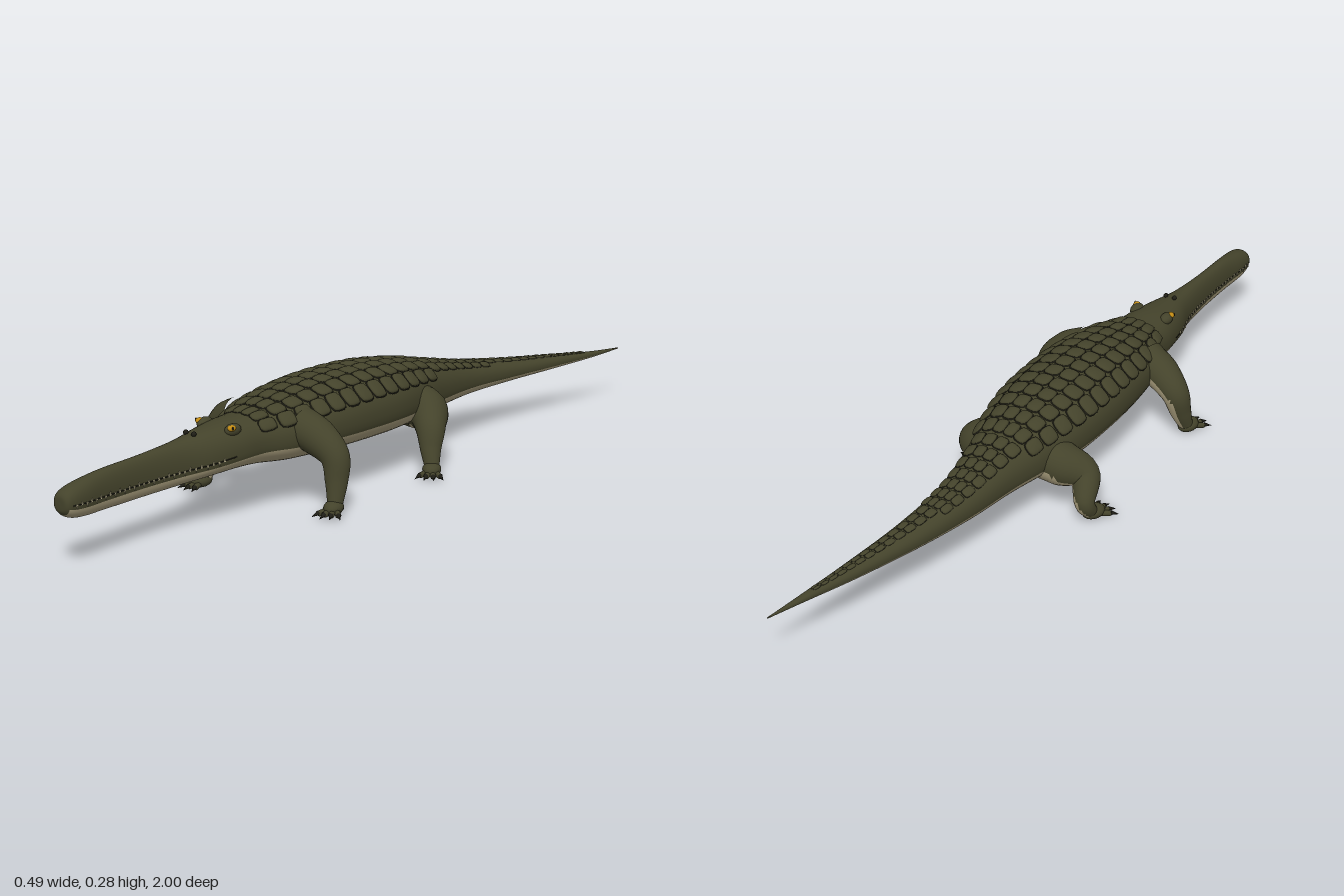
import * as THREE from 'three';
import { mergeGeometries } from 'three/addons/utils/BufferGeometryUtils.js';

const V = (x, y, z) => new THREE.Vector3(x, y, z);
const mat = (name, color) => Object.assign(new THREE.MeshStandardMaterial({ color }), { name });

// Body cross-sections: z, centre x, half width, top y, bottom y, widest y
const SECTIONS = [
  [1, 0, 0, 0.158, 0.152, 0.155], [0.997, 0, 0.021, 0.178, 0.138, 0.157],
  [0.98, 0, 0.029, 0.191, 0.124, 0.157], [0.94, 0, 0.03, 0.201, 0.117, 0.156],
  [0.87, 0, 0.025, 0.21, 0.116, 0.155], [0.75, 0, 0.025, 0.215, 0.116, 0.155],
  [0.64, 0, 0.036, 0.222, 0.117, 0.157], [0.56, 0, 0.058, 0.231, 0.12, 0.162],
  [0.48, 0, 0.073, 0.239, 0.122, 0.17], [0.41, 0, 0.083, 0.242, 0.118, 0.176],
  [0.33, 0, 0.115, 0.254, 0.11, 0.18], [0.22, 0, 0.132, 0.269, 0.105, 0.18],
  [0.1, 0, 0.138, 0.275, 0.102, 0.18], [-0.04, 0, 0.132, 0.271, 0.1, 0.178],
  [-0.16, 0, 0.108, 0.256, 0.102, 0.172], [-0.28, 0, 0.078, 0.231, 0.108, 0.163],
  [-0.42, 0.002, 0.056, 0.202, 0.114, 0.154], [-0.58, 0.024, 0.04, 0.179, 0.12, 0.146],
  [-0.76, 0.06, 0.024, 0.162, 0.127, 0.143], [-0.9, 0.092, 0.01, 0.151, 0.135, 0.142],
  [-1, 0.112, 0.001, 0.146, 0.143, 0.1445],
];
const plan = new THREE.CatmullRomCurve3(SECTIONS.map(s => V(s[0], s[1], s[2])), false, 'catmullrom');
const heights = new THREE.CatmullRomCurve3(SECTIONS.map(s => V(s[3], s[4], s[5])), false, 'catmullrom');
const pow = v => Math.sign(v) * Math.abs(v) ** 0.87;

// Point on the skin; angle 0 is the belly line, PI is the back line
function skin(t, angle) {
  const p = plan.getPoint(t), h = heights.getPoint(t);
  const up = pow(-Math.cos(angle));
  return V(p.y + Math.max(p.z, 0) * pow(Math.sin(angle)),
    h.z + up * (up > 0 ? h.x - h.z : h.z - h.y), p.x);
}
function tAtZ(z) {
  let a = 0, b = 1;
  for (let i = 0; i < 30; i++) {
    const m = (a + b) / 2;
    if (plan.getPoint(m).x > z) a = m; else b = m;
  }
  return a;
}

// Sort triangles into two material groups by a rule on texture position and normal
function paint(geo, isPale) {
  const idx = geo.index.array, lists = [[], []], uv = geo.attributes.uv, nor = geo.attributes.normal;
  for (let i = 0; i < idx.length; i += 3) {
    let u = 0, v = 0;
    const n = V(0, 0, 0);
    for (let k = 0; k < 3; k++) {
      u += uv.getX(idx[i + k]) / 3;
      v += uv.getY(idx[i + k]) / 3;
      n.add(V(0, 0, 0).fromBufferAttribute(nor, idx[i + k]));
    }
    lists[isPale(u, v, n.normalize()) ? 1 : 0].push(idx[i], idx[i + 1], idx[i + 2]);
  }
  geo.setIndex([...lists[0], ...lists[1]]);
  geo.clearGroups();
  geo.addGroup(0, lists[0].length, 0);
  geo.addGroup(lists[0].length, lists[1].length, 1);
  return geo;
}

// Trunk from snout to tail with a pale underside and a dark snout tip
function bodyGeometry() {
  const sides = 48, rows = 160;
  const geo = new THREE.CylinderGeometry(1, 1, 1, sides, rows, true);
  const pos = geo.attributes.position, uv = geo.attributes.uv;
  for (let i = 0; i < pos.count; i++) {
    const p = skin(1 - uv.getY(i), uv.getX(i) * Math.PI * 2);
    pos.setXYZ(i, p.x, p.y, p.z);
  }
  geo.computeVertexNormals();
  return paint(geo, (u, v) => v < 0.93 && Math.abs(Math.floor(u * sides) + 0.5 - sides / 2) > sides / 2 - 10);
}

// Tube whose radius follows a list along its path
function limbGeometry(points, radii) {
  const path = new THREE.CatmullRomCurve3(points), n = 28, sides = 24;
  const geo = new THREE.TubeGeometry(path, n, 1, sides), pos = geo.attributes.position;
  for (let i = 0; i <= n; i++) {
    const c = path.getPointAt(i / n), f = (i / n) * (radii.length - 1);
    const k = Math.min(Math.floor(f), radii.length - 2);
    const r = THREE.MathUtils.lerp(radii[k], radii[k + 1], f - k);
    for (let j = 0; j <= sides; j++) {
      const q = i * (sides + 1) + j;
      const v = V(0, 0, 0).fromBufferAttribute(pos, q).sub(c).multiplyScalar(r).add(c);
      pos.setXYZ(q, v.x, v.y, v.z);
    }
  }
  return geo;
}

// Flat-topped plate with a rounded square outline
function scuteGeometry() {
  const geo = new THREE.SphereGeometry(1, 16, 6, 0, Math.PI * 2, 0, Math.PI / 2);
  const pos = geo.attributes.position;
  for (let i = 0; i < pos.count; i++) {
    const x = pos.getX(i), y = pos.getY(i), z = pos.getZ(i), r = Math.hypot(x, z) || 1;
    const k = 1 / ((Math.abs(x) / r) ** 4 + (Math.abs(z) / r) ** 4 || 1) ** 0.25;
    pos.setXYZ(i, x * k, Math.max(y, 0) ** 0.6, z * k);
  }
  geo.computeVertexNormals();
  return geo;
}

// Cone or other y-up geometry moved to a point and aimed along a direction
function aim(geo, at, dir) {
  geo.applyQuaternion(new THREE.Quaternion().setFromUnitVectors(V(0, 1, 0), dir.clone().normalize()));
  return geo.translate(at.x, at.y, at.z);
}

export function createModel() {
  const hide = mat('darkOliveHide', 0x44432b), belly = mat('paleBelly', 0xa59a7a);
  const dark = mat('blackBrown', 0x1f1e16), amber = mat('amberEye', 0xc08a14), ivory = mat('ivory', 0xc2b994);
  const model = new THREE.Group();
  model.name = 'crocodile';
  const add = (name, geo, material, parent = model) => {
    const mesh = new THREE.Mesh(geo, material);
    mesh.name = name;
    parent.add(mesh);
  };
  const ball = (x, y, z, sx, sy, sz) =>
    new THREE.SphereGeometry(1, 16, 10).scale(sx, sy, sz).translate(x, y, z);

  add('body', bodyGeometry(), [hide, belly]);

  // Back armour: rows of scutes that narrow and shrink down the tail
  const plates = [], seams = [], plate = scuteGeometry();
  for (let z = 0.4, pitch; z > -0.86; z -= pitch) {
    const t = tAtZ(z), hw = plan.getPoint(t).z;
    pitch = z > -0.22 ? 0.05 : Math.max(0.02, 0.04 * (hw / 0.07) ** 0.4);
    const pairs = z > -0.22 ? 3 : z > -0.5 ? 2 : 1;
    const w = Math.min(0.045, hw * [0, 0.5, 0.38, 0.32][pairs]);
    const high = Math.min(0.01, 0.002 + hw * 0.08);
    for (let c = -pairs; c < pairs; c++) {
      const a = Math.PI - Math.asin(((Math.abs(c + 0.5) * w) / hw) ** (1 / 0.87)) * Math.sign(c + 0.5);
      const p = skin(t, a);
      const along = skin(t - 0.004, a).sub(skin(t + 0.004, a)).normalize();
      const across = skin(t, a - 0.05).sub(skin(t, a + 0.05)).normalize();
      const normal = along.clone().cross(across).normalize();
      const side = normal.clone().cross(along);
      const m = new THREE.Matrix4().makeBasis(side, normal, along).setPosition(p);
      const stretch = 1 + 0.12 * Math.abs(c + 0.5);
      plates.push(plate.clone().scale(w * 0.46 * stretch, high, pitch * 0.45).applyMatrix4(m));
      seams.push(plate.clone().scale(w * 0.49 * stretch, high * 0.4, pitch * 0.48).applyMatrix4(m));
    }
  }
  add('backScutes', mergeGeometries(plates), hide);
  add('scuteSeams', mergeGeometries(seams), dark);

  // Head details on both sides
  const lids = [], eyes = [], pupils = [], nostrils = [], mouths = [], teeth = [];
  for (const s of [-1, 1]) {
    lids.push(ball(s * 0.045, 0.225, 0.493, 0.016, 0.015, 0.024));
    eyes.push(ball(s * 0.052, 0.232, 0.504, 0.0095, 0.0075, 0.011));
    pupils.push(ball(s * 0.0602, 0.234, 0.508, 0.002, 0.0045, 0.0025));
    nostrils.push(ball(s * 0.013, 0.23, 0.59, 0.006, 0.006, 0.007));
    const line = [];
    for (let z = 0.985; z > 0.5; z -= 0.02) line.push(skin(tAtZ(z), s * 1.56));
    mouths.push(new THREE.TubeGeometry(new THREE.CatmullRomCurve3(line), 40, 0.0016, 6));
    for (let i = 0; i < 30; i++) {
      const p = skin(tAtZ(0.975 - i * 0.015), s * 1.56), up = i % 2 ? 1 : -1;
      p.add(V(s * 0.001, up * 0.004, 0));
      teeth.push(aim(new THREE.ConeGeometry(0.0036, 0.012, 6), p, V(s * 0.25, up, 0)));
    }
  }
  add('eyelids', mergeGeometries(lids), hide);
  add('eyes', mergeGeometries(eyes), amber);
  add('pupils', mergeGeometries(pupils), dark);
  add('nostrils', mergeGeometries(nostrils), dark);
  add('mouthLines', mergeGeometries(mouths), dark);
  add('teeth', mergeGeometries(teeth), ivory);

  // Legs: joints from the trunk to the ankle, radii along them, foot heading
  const armRadii = [0.05, 0.046, 0.036, 0.028, 0.018], thighRadii = [0.06, 0.056, 0.04, 0.028, 0.018];
  const legs = [
    ['frontLeftLeg', 1, [V(0.08, 0.2, 0.3), V(0.135, 0.178, 0.292), V(0.18, 0.138, 0.285), V(0.189, 0.08, 0.29), V(0.194, 0.022, 0.302)],
      armRadii, 0.35],
    ['frontRightLeg', -1, [V(-0.08, 0.2, 0.33), V(-0.135, 0.178, 0.318), V(-0.18, 0.138, 0.31), V(-0.189, 0.08, 0.325), V(-0.194, 0.022, 0.35)],
      armRadii, -0.2],
    ['hindLeftLeg', 1, [V(0.06, 0.16, -0.145), V(0.11, 0.144, -0.148), V(0.15, 0.115, -0.115), V(0.165, 0.065, -0.098), V(0.178, 0.022, -0.088)],
      thighRadii, 0.55],
    ['hindRightLeg', -1, [V(-0.06, 0.16, -0.135), V(-0.11, 0.144, -0.125), V(-0.16, 0.115, -0.1), V(-0.186, 0.06, -0.138), V(-0.19, 0.022, -0.115)],
      thighRadii, -0.35],
  ];
  for (const [name, s, joints, radii, heading] of legs) {
    const leg = new THREE.Group();
    leg.name = name;
    model.add(leg);
    const inner = V(-0.6 * s, -0.8, -0.5).normalize();
    add('limb', paint(limbGeometry(joints, radii), (u, v, n) => n.dot(inner) > 0.45), [hide, belly], leg);
    const ankle = joints[4];
    const foot = ball(0, 0, 0, 0.024, 0.018, 0.032).rotateY(heading)
      .translate(ankle.x + Math.sin(heading) * 0.008, 0.021, ankle.z + Math.cos(heading) * 0.008);
    const toes = [foot], claws = [];
    for (let k = 0; k < 4; k++) {
      const a = heading + (k - 1.5) * 0.36, dir = V(Math.sin(a), -0.12, Math.cos(a));
      const at = r => V(ankle.x + dir.x * r, 0.019 - r * 0.12, ankle.z + dir.z * r);
      toes.push(aim(new THREE.CapsuleGeometry(0.0075, 0.03, 4, 8), at(0.031), dir));
      claws.push(aim(new THREE.ConeGeometry(0.0062, 0.022, 8), at(0.06), V(dir.x, -0.3, dir.z)));
    }
    add('footAndToes', mergeGeometries(toes), hide, leg);
    add('claws', mergeGeometries(claws), dark, leg);
  }
  return model;
}
